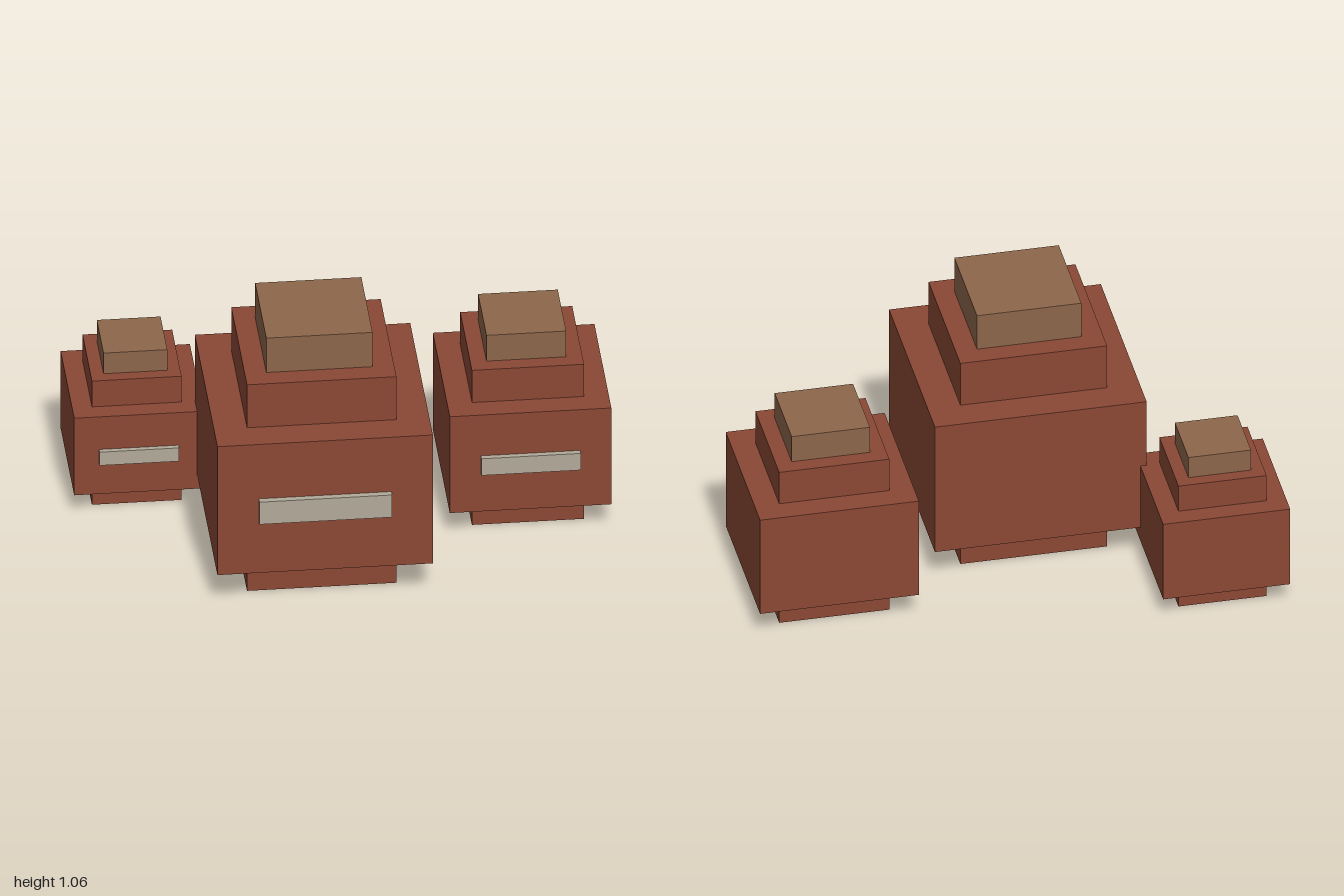
import * as THREE from 'three';

const clay = new THREE.MeshStandardMaterial({ color: 0x8b4835 });
clay.name = 'clay';
const wood = new THREE.MeshStandardMaterial({ color: 0x8d664b });
wood.name = 'wood';
const paper = new THREE.MeshStandardMaterial({ color: 0xb2aa9a });
paper.name = 'paper';

// Box standing on height y, centred on x = 0
function addBox(parent, name, material, width, height, depth, y, z = 0) {
  const mesh = new THREE.Mesh(new THREE.BoxGeometry(width, height, depth), material);
  mesh.name = name;
  mesh.position.set(0, y + height / 2, z);
  parent.add(mesh);
}

// Square stepped jar: foot, belly, neck, lid and front label
function createJar(name, s, x, z, labelDepth) {
  const jar = new THREE.Group();
  jar.name = name;
  addBox(jar, 'foot', clay, 0.565 * s, 0.153 * s, 0.565 * s, 0);
  addBox(jar, 'belly', clay, 0.815 * s, 0.565 * s, 0.815 * s, 0.153 * s);
  addBox(jar, 'neck', clay, 0.565 * s, 0.189 * s, 0.565 * s, 0.718 * s);
  addBox(jar, 'lid', wood, 0.402 * s, 0.151 * s, 0.402 * s, 0.907 * s);
  addBox(jar, 'label', paper, 0.502 * s, 0.098 * s, labelDepth, 0.381 * s, 0.4075 * s + labelDepth / 2);
  jar.position.set(x, 0, z);
  return jar;
}

export function createModel() {
  const model = new THREE.Group();
  model.name = 'jars';
  model.add(
    createJar('largeJar', 1, -0.127, 0.19, 0.025),
    createJar('mediumJar', 0.75, 0.694, -0.126, 0.022),
    createJar('smallJar', 0.6, -0.755, -0.378, 0.02),
  );
  return model;
}
